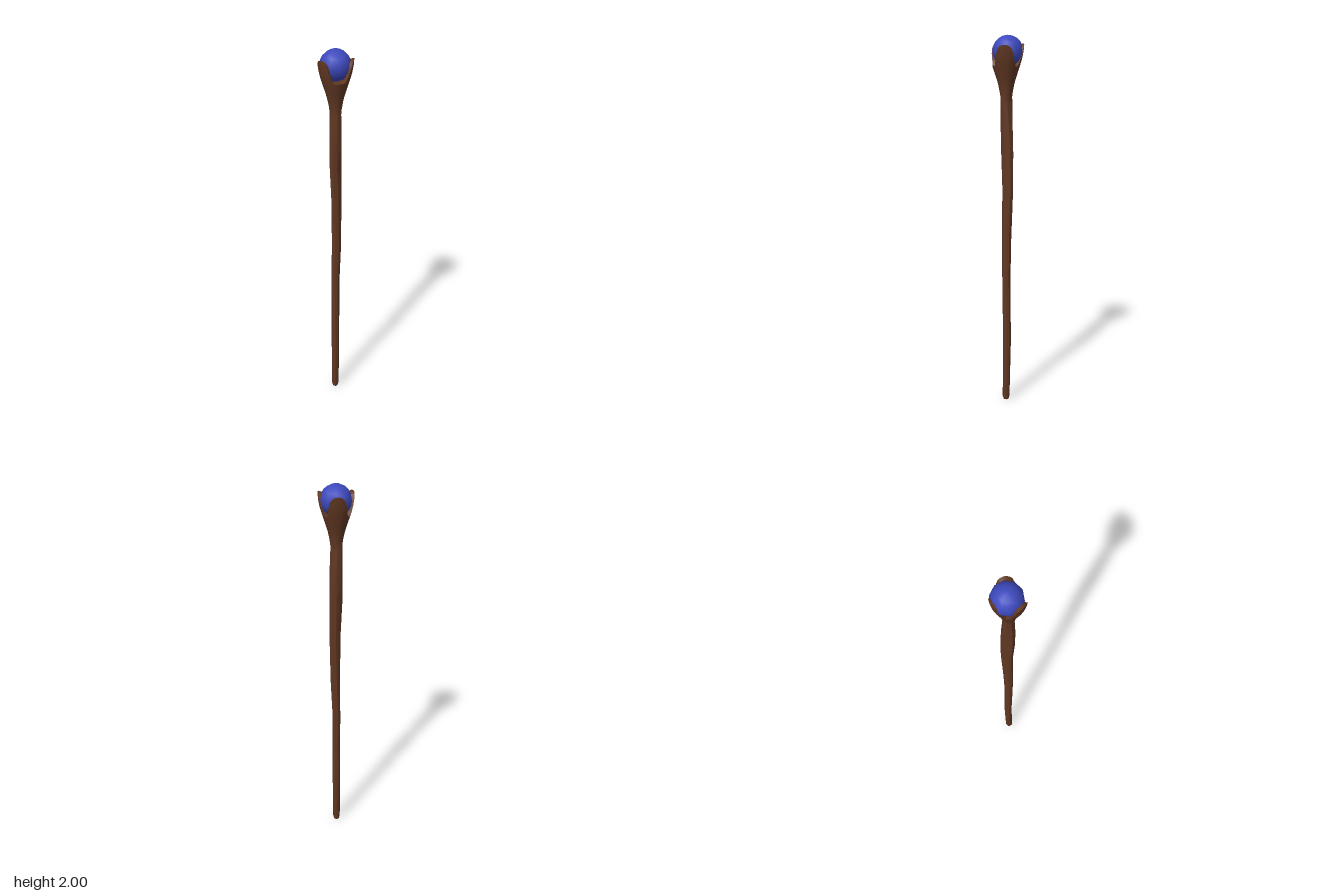
import * as THREE from 'three';
import { toCreasedNormals } from 'three/addons/utils/BufferGeometryUtils.js';

const wood = new THREE.MeshStandardMaterial({ color: 0x613823 });
wood.name = 'darkWood';
const blue = new THREE.MeshStandardMaterial({ color: 0x3d49bd });
blue.name = 'orbBlue';

// Piecewise linear lookup in a list of [key, value]
function lookup(table, k) {
  if (k <= table[0][0]) return table[0][1];
  for (let i = 1; i < table.length; i++) {
    const [k0, v0] = table[i - 1], [k1, v1] = table[i];
    if (k <= k1) return THREE.MathUtils.lerp(v0, v1, (k - k0) / (k1 - k0));
  }
  return table[table.length - 1][1];
}

// Skin closed rings of points; point(row, angle) returns [x, y, z]
function loft(rows, sides, crease, point) {
  const pos = [], index = [];
  for (let j = 0; j < rows; j++)
    for (let i = 0; i < sides; i++) pos.push(...point(j, (i / sides) * Math.PI * 2));
  for (let j = 0; j < rows - 1; j++)
    for (let i = 0; i < sides; i++) {
      const a = j * sides + i, b = j * sides + ((i + 1) % sides);
      index.push(a, a + sides, b, b, a + sides, b + sides);
    }
  const g = new THREE.BufferGeometry();
  g.setAttribute('position', new THREE.Float32BufferAttribute(pos, 3));
  g.setIndex(index);
  return toCreasedNormals(g, crease);
}

function add(group, name, geometry, material) {
  const mesh = new THREE.Mesh(geometry, material);
  mesh.name = name;
  group.add(mesh);
  return mesh;
}

export function createModel() {
  const group = new THREE.Group();
  group.name = 'orbStaff';

  // Crooked shaft: y, x min, x max, z min, z max
  const rings = [
    [0, 0.001, 0.003, -0.001, 0.001],
    [0.003, -0.013, 0.017, -0.014, 0.014],
    [0.02, -0.018, 0.022, -0.018, 0.018],
    [0.35, -0.016, 0.028, -0.024, 0.018],
    [0.7, -0.02, 0.026, -0.023, 0.021],
    [0.92, -0.02, 0.035, -0.021, 0.027],
    [1.2, -0.02, 0.045, -0.027, 0.024],
    [1.4, -0.031, 0.045, -0.03, 0.024],
    [1.55, -0.031, 0.04, -0.031, 0.029],
    [1.68, -0.026, 0.031, -0.034, 0.032],
    [1.76, -0.028, 0.032, -0.034, 0.034],
  ];
  add(group, 'shaft', loft(rings.length, 8, 0.6, (j, a) => {
    const [y, x0, x1, z0, z1] = rings[j];
    const t = a + y * 0.35;
    return [(x0 + x1) / 2 + Math.cos(t) * (x1 - x0) / 2, y, (z0 + z1) / 2 + Math.sin(t) * (z1 - z0) / 2];
  }), wood);

  // Flared head whose rim rises into three claws
  const profile = [[1.66, 0.028], [1.7, 0.031], [1.76, 0.043], [1.8, 0.056], [1.85, 0.072], [1.88, 0.081], [1.92, 0.088], [1.96, 0.091]];
  const rim = [[0, 1.956], [12, 1.953], [24, 1.938], [33, 1.9], [40, 1.86], [48, 1.845]];
  const claws = [52, 197, 304];
  const outerRows = 10, innerRows = 5;
  add(group, 'clawHead', loft(outerRows + innerRows + 1, 48, 0.7, (j, a) => {
    const deg = THREE.MathUtils.radToDeg(a);
    const away = Math.min(...claws.map((c) => Math.abs(((deg - c + 540) % 360) - 180)));
    const top = lookup(rim, away);
    let y, r;
    if (j < outerRows) {
      y = THREE.MathUtils.lerp(1.66, top, j / (outerRows - 1));
      r = lookup(profile, y);
    } else if (j < outerRows + innerRows) {
      y = THREE.MathUtils.lerp(top - 0.003, 1.84, (j - outerRows) / (innerRows - 1));
      r = lookup(profile, y) - 0.017;
    } else {
      y = 1.838;
      r = 0.001;
    }
    const cx = lookup([[1.66, 0.003], [1.85, 0.002], [1.95, 0.004]], y);
    return [cx + Math.cos(a) * r, y, Math.sin(a) * r];
  }), wood);

  // Orb held between the claws
  const orb = add(group, 'orb', new THREE.SphereGeometry(0.08, 10, 10), blue);
  orb.rotation.y = Math.PI / 10;
  orb.position.set(0.009, 1.92, -0.005);

  return group;
}
